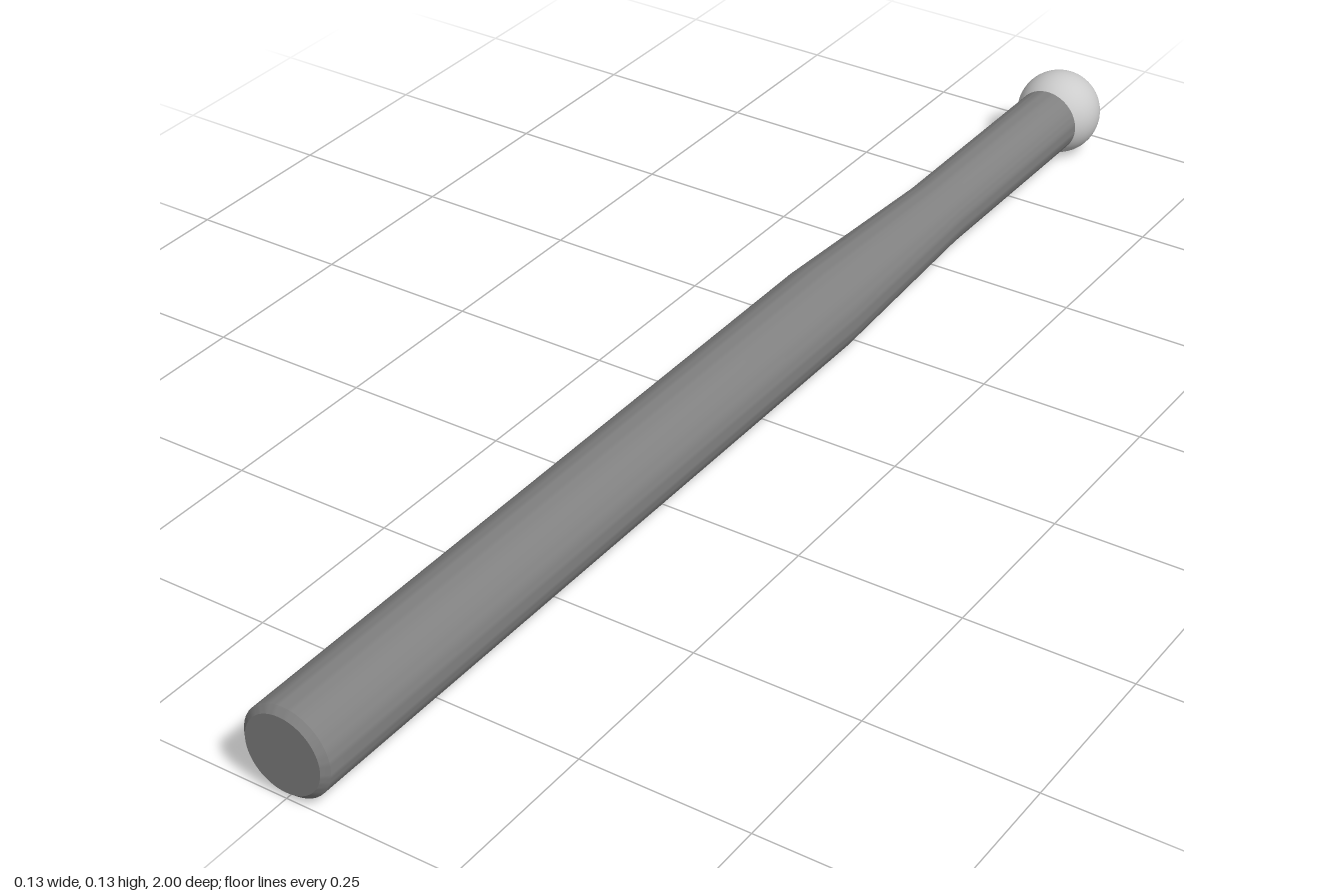
import * as THREE from 'three';
import { toCreasedNormals } from 'three/addons/utils/BufferGeometryUtils.js';

const RADIUS = 0.0665;      // thick shank and ball
const NECK = 0.052;         // thin neck behind the ball
const CHAMFER = 0.009;

export function createModel() {
  const group = new THREE.Group();
  group.name = 'ballEndTool';

  // Shank: chamfered front end, long taper, slim neck; profile runs from back to front
  const profile = [
    [0, -0.893],
    [NECK, -0.893],
    [NECK, -0.53],
    [RADIUS, -0.2],
    [RADIUS, 1 - CHAMFER],
    [RADIUS - CHAMFER, 1],
    [0, 1],
  ].map(([r, z]) => new THREE.Vector2(r, z));
  const shankGeometry = toCreasedNormals(new THREE.LatheGeometry(profile, 64), 0.5);
  shankGeometry.rotateX(Math.PI / 2); // lathe axis onto z
  const shank = new THREE.Mesh(shankGeometry, new THREE.MeshStandardMaterial({ color: 0x808080 }));
  shank.name = 'shank';
  shank.position.y = RADIUS;
  group.add(shank);

  // Ball tip at the back end
  const ballGeometry = new THREE.SphereGeometry(RADIUS, 64, 32);
  ballGeometry.rotateX(Math.PI / 2);
  const ball = new THREE.Mesh(ballGeometry, new THREE.MeshStandardMaterial({ color: 0xcccccc }));
  ball.name = 'ballTip';
  ball.position.set(0, RADIUS, -1 + RADIUS);
  group.add(ball);

  return group;
}
